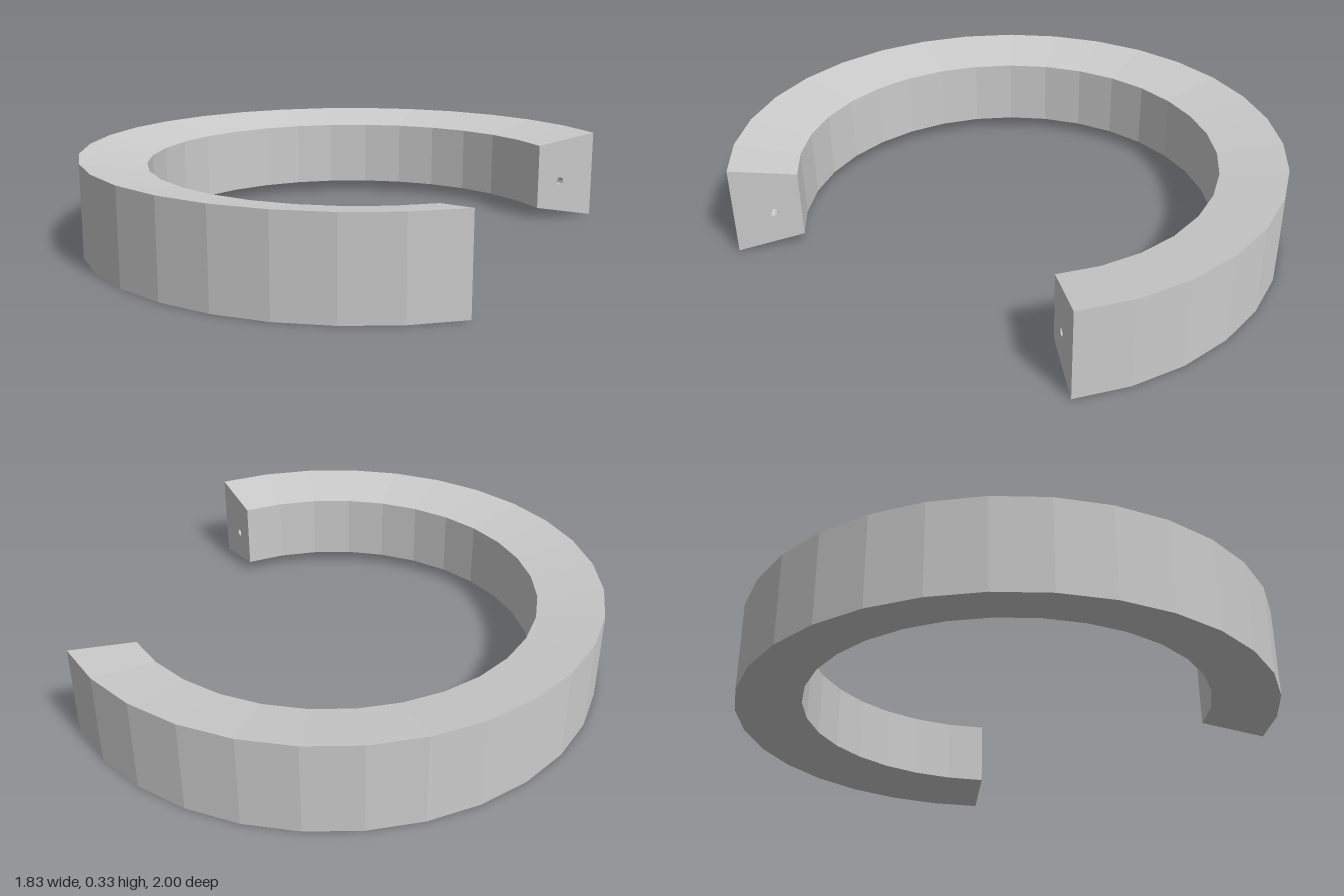
import * as THREE from 'three';

const CENTRE_X = 0.084;
const STEPS = 24; // 270 degrees in facets of 11.25
const START = THREE.MathUtils.degToRad(33.75);
const SWEEP = THREE.MathUtils.degToRad(270);

export function createModel() {
  const group = new THREE.Group();
  group.name = 'openRing';

  // Cross-section (x = radius, y = height): tapers towards the inner side
  const profile = new THREE.Shape([
    new THREE.Vector2(0.762, 0.043),
    new THREE.Vector2(1, 0),
    new THREE.Vector2(1, 0.333),
    new THREE.Vector2(0.762, 0.293),
  ]);

  // Thin bore running along the ring, visible on both cut ends
  const bore = new THREE.Path();
  for (let i = 0; i < 8; i++) {
    const a = -(i / 8) * Math.PI * 2;
    const x = 0.859 + 0.015 * Math.cos(a);
    const y = 0.146 + 0.015 * Math.sin(a);
    if (i === 0) bore.moveTo(x, y);
    else bore.lineTo(x, y);
  }
  bore.closePath();
  profile.holes.push(bore);

  // Extrude straight, then bend the length around the vertical axis
  const geometry = new THREE.ExtrudeGeometry(profile, {
    depth: 1,
    steps: STEPS,
    bevelEnabled: false,
  });
  const pos = geometry.attributes.position;
  for (let i = 0; i < pos.count; i++) {
    const r = pos.getX(i);
    const a = START + SWEEP * pos.getZ(i);
    pos.setXYZ(i, CENTRE_X + r * Math.cos(a), pos.getY(i), r * Math.sin(a));
  }
  geometry.computeVertexNormals();

  const ring = new THREE.Mesh(
    geometry,
    new THREE.MeshStandardMaterial({ color: 0xcccccc, flatShading: true })
  );
  ring.name = 'ringBand';
  group.add(ring);
  return group;
}
